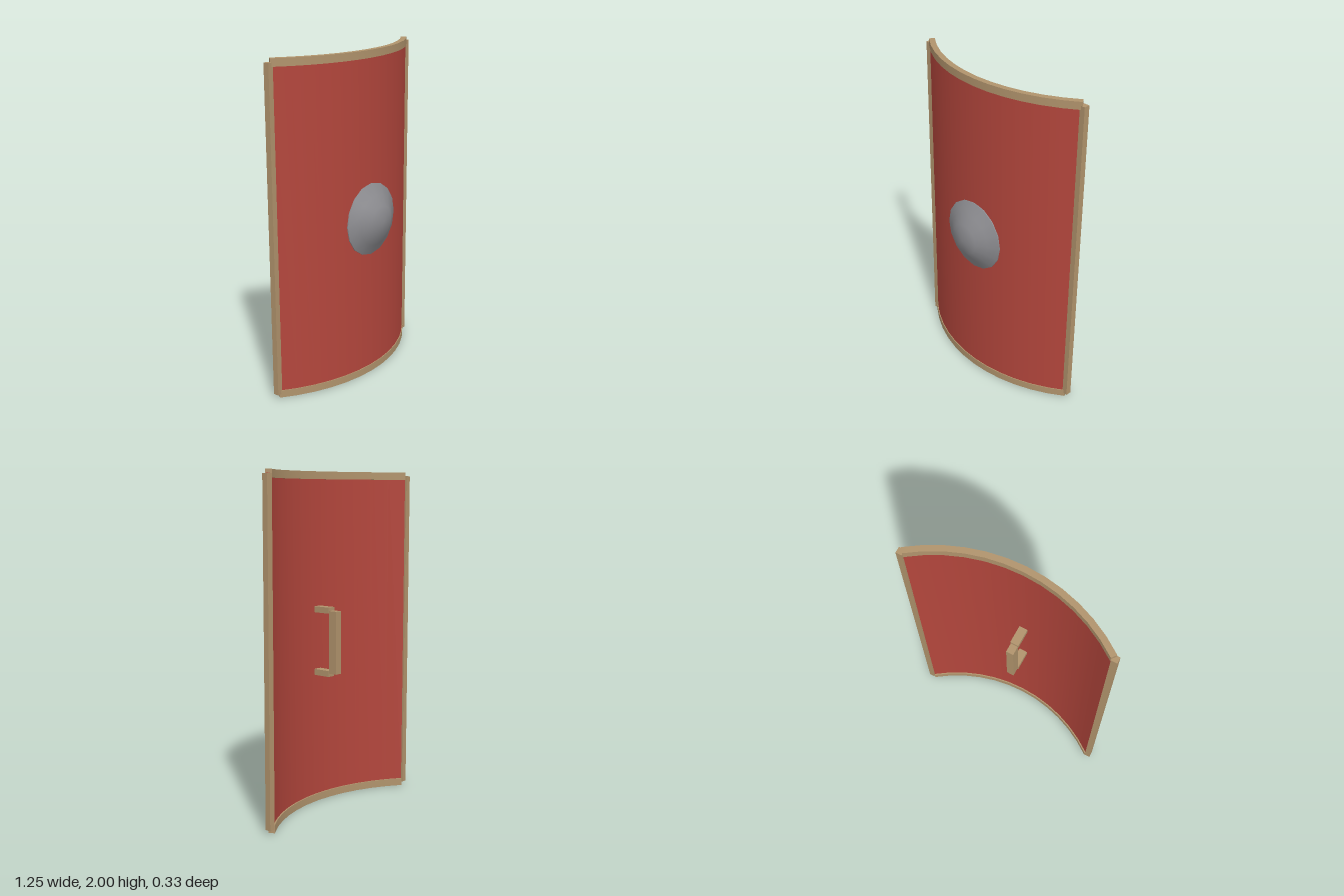
import * as THREE from 'three';
import { toCreasedNormals } from 'three/addons/utils/BufferGeometryUtils.js';

const red = new THREE.MeshStandardMaterial({ color: 0xb3463c });
red.name = 'red paint';
const wood = new THREE.MeshStandardMaterial({ color: 0xb0936c });
wood.name = 'tan wood';
const steel = new THREE.MeshStandardMaterial({ color: 0x8c8c90 });
steel.name = 'grey steel';

const AXIS_Z = -0.93; // centre of curvature of the board
const HALF_ANGLE = THREE.MathUtils.degToRad(37.5);
const SEGMENTS = 12;

// Upright curved wall between two radii, running from y0 to y1
function curvedWall(rInner, rOuter, y0, y1) {
  const points = [];
  const addArc = (r, dir) => {
    for (let i = 0; i <= SEGMENTS; i++) {
      const a = dir * HALF_ANGLE * (2 * i / SEGMENTS - 1);
      points.push(new THREE.Vector2(r * Math.sin(a), -(AXIS_Z + r * Math.cos(a))));
    }
  };
  addArc(rOuter, 1);
  addArc(rInner, -1);
  const geo = new THREE.ExtrudeGeometry(new THREE.Shape(points), { depth: y1 - y0, bevelEnabled: false });
  geo.rotateX(-Math.PI / 2).translate(0, y0, 0);
  return toCreasedNormals(geo, 0.4);
}

export function createModel() {
  const shield = new THREE.Group();
  shield.name = 'shield';

  const add = (name, geometry, material, x = 0, y = 0, z = 0) => {
    const mesh = new THREE.Mesh(geometry, material);
    mesh.name = name;
    mesh.position.set(x, y, z);
    shield.add(mesh);
    return mesh;
  };

  // Curved board with its top and bottom rims
  add('board', curvedWall(0.973, 0.995, 0.02, 1.98), red);
  add('bottomRim', curvedWall(0.965, 1.0, 0, 0.045), wood);
  add('topRim', curvedWall(0.965, 1.0, 1.955, 2), wood);

  // Straight rims down both sides
  for (const [name, side] of [['leftRim', 1], ['rightRim', -1]]) {
    add(name, new THREE.BoxGeometry(0.035, 1.955, 0.036), wood, side * 0.609, 1, -0.15);
  }

  // Domed boss, closed at the back
  const profile = [[0, 0], [0.22, 0], [0.22, 0.006], [0.155, 0.043], [0.095, 0.081], [0, 0.101]]
    .map(([r, h]) => new THREE.Vector2(r, h));
  const boss = new THREE.LatheGeometry(profile, 16).rotateX(Math.PI / 2);
  add('boss', toCreasedNormals(boss, 0.7), steel, 0, 1, 0.063);

  // Grip carried on two posts behind the board
  add('grip', new THREE.BoxGeometry(0.046, 0.375, 0.056), wood, 0, 1, -0.098);
  for (const [name, side] of [['upperGripPost', 1], ['lowerGripPost', -1]]) {
    add(name, new THREE.BoxGeometry(0.052, 0.036, 0.12), wood, 0, 1 + side * 0.19, -0.01);
  }

  return shield;
}
